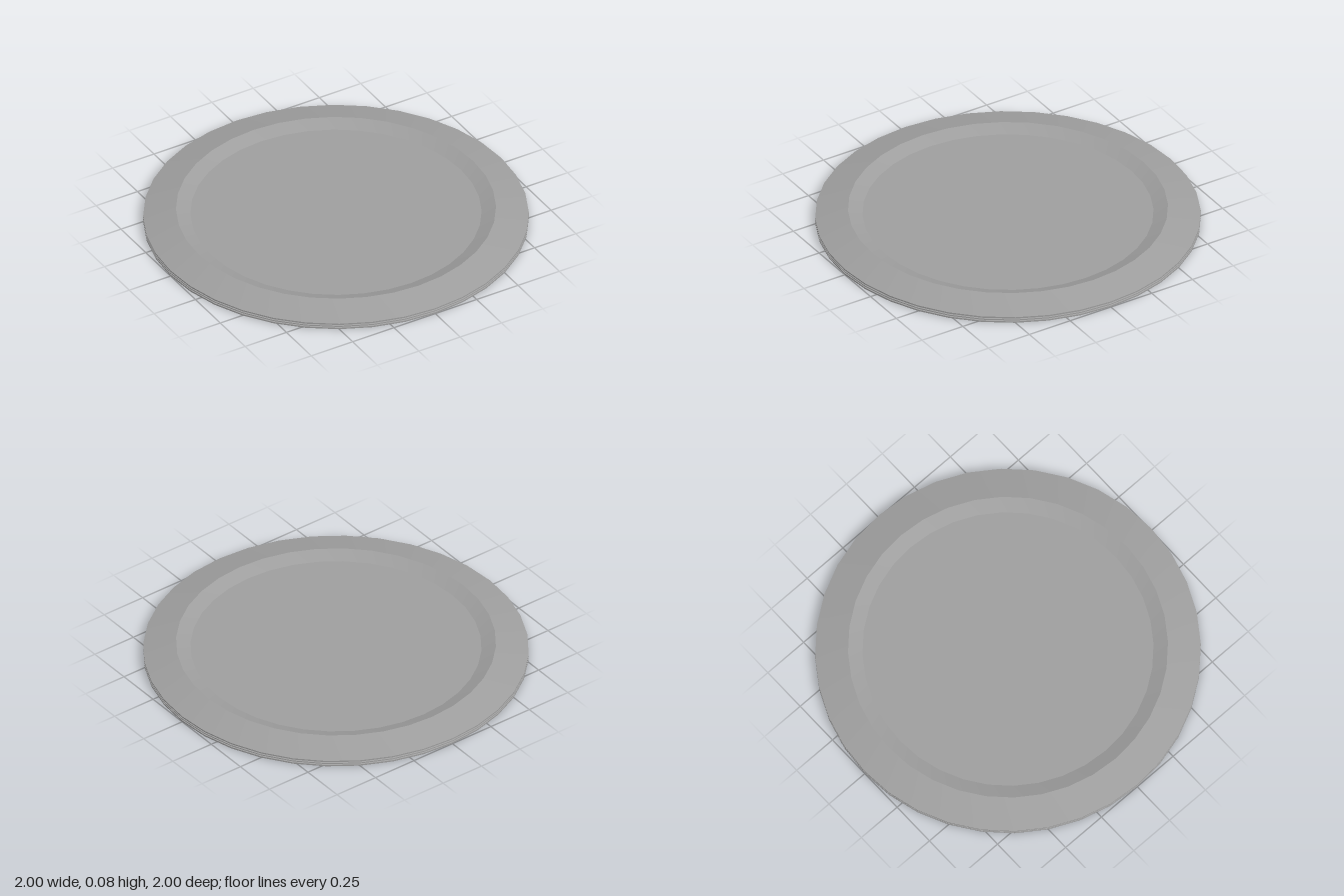
import * as THREE from 'three';
import { toCreasedNormals } from 'three/addons/utils/BufferGeometryUtils.js';

export function createModel() {
  const group = new THREE.Group();
  group.name = 'dish';
  const material = new THREE.MeshStandardMaterial({ color: 0x9e9e9e });

  // Closed profile as [radius, height]: underside outwards, round the rim, topside inwards
  const profile = [
    [0, 0.034], [0.75, 0.034], [0.83, 0.061], [0.99, 0.021], // underside
    [0.99, 0], [1, 0],                                       // thin lip
    [1, 0.008], [0.994, 0.01], [0.994, 0.013], [1, 0.015],   // lower groove in the edge
    [1, 0.02], [0.994, 0.022], [0.994, 0.025], [1, 0.027],   // upper groove in the edge
    [1, 0.034], [0.83, 0.075], [0.755, 0.047], [0, 0.047],   // sloped rim and sunken floor
  ].map(([r, y]) => new THREE.Vector2(r, y));

  // Smooth around the circle, sharp across the profile corners
  const disc = new THREE.Mesh(toCreasedNormals(new THREE.LatheGeometry(profile, 36), 0.2), material);
  disc.name = 'disc';
  group.add(disc);
  return group;
}
